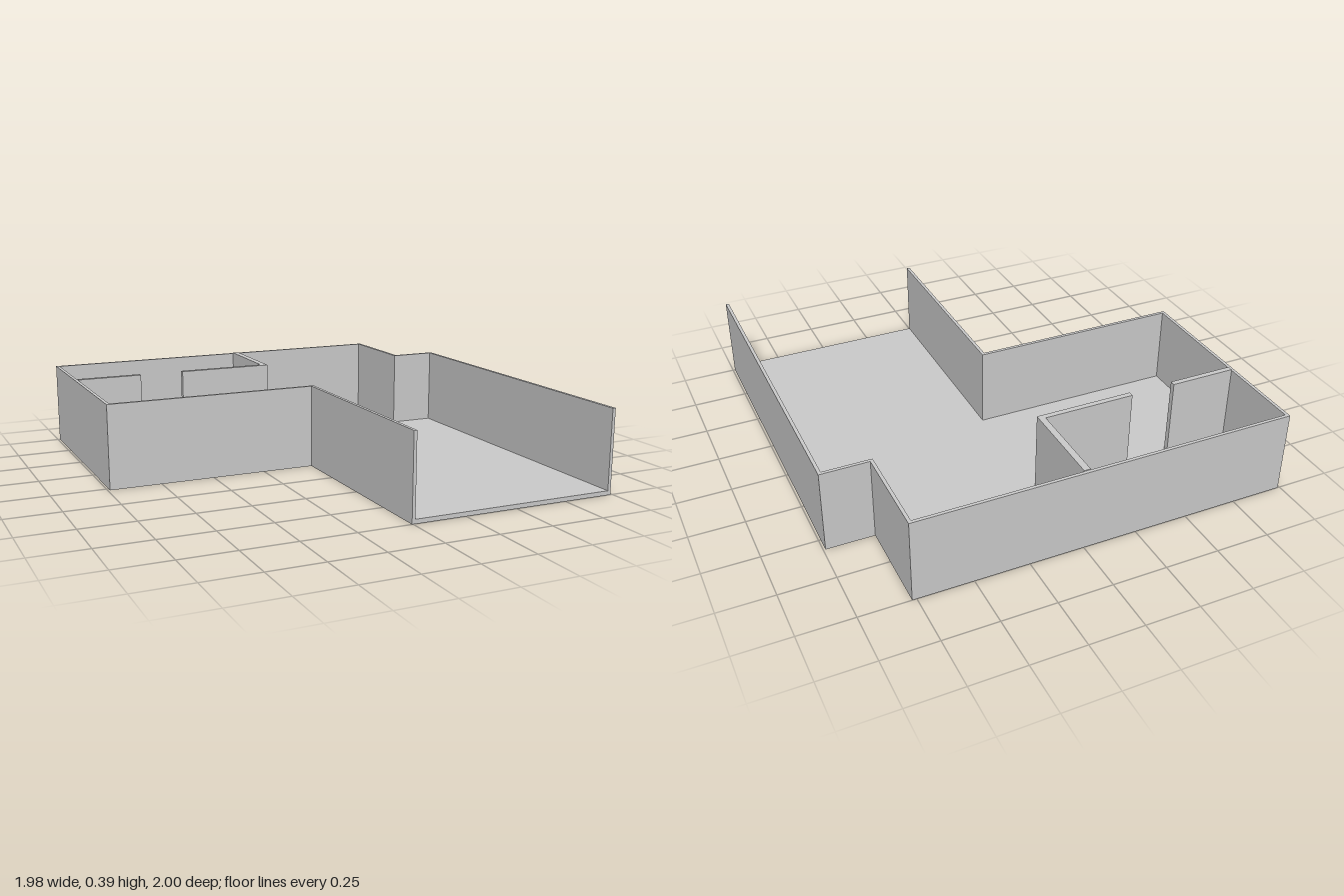
import * as THREE from 'three';

const FLOOR = 0.02;
const WALL_TOP = 0.39;
const PARTITION_TOP = 0.394;

// Outer edge of the plan as [x, z], from one side of the open front to the other
const outer = [
  [-0.005, 1], [-0.005, 0.025], [-0.99, 0.025], [-0.99, -1],
  [0.77, -1], [0.77, -0.567], [0.99, -0.567], [0.99, 1],
];
// Inner face of the outside walls, in the same order
const inner = [
  [0.01, 1], [0.01, 0.01], [-0.975, 0.01], [-0.975, -0.985],
  [0.755, -0.985], [0.755, -0.552], [0.975, -0.552], [0.975, 1],
];
// Partitions: an L-shaped wall and a short stub, with a doorway between
const partitionL = [
  [-0.45, -0.585], [-0.02, -0.585], [-0.02, -0.985],
  [0.01, -0.985], [0.01, -0.56], [-0.45, -0.56],
];
const partitionStub = [
  [-0.975, -0.585], [-0.665, -0.585], [-0.665, -0.56], [-0.975, -0.56],
];

export function createModel() {
  const group = new THREE.Group();
  const material = new THREE.MeshStandardMaterial({ color: 0xcccccc, flatShading: true });

  // Raise a plan outline from one height to another
  function raise(name, plan, bottom, top) {
    const shape = new THREE.Shape(plan.map(([x, z]) => new THREE.Vector2(x, -z)));
    const geometry = new THREE.ExtrudeGeometry(shape, { depth: top - bottom, bevelEnabled: false });
    geometry.rotateX(-Math.PI / 2).translate(0, bottom, 0);
    const mesh = new THREE.Mesh(geometry, material);
    mesh.name = name;
    group.add(mesh);
  }

  raise('floor', outer, 0, FLOOR);
  raise('outsideWalls', [...outer, ...[...inner].reverse()], FLOOR, WALL_TOP);
  raise('cornerPartition', partitionL, FLOOR, PARTITION_TOP);
  raise('stubPartition', partitionStub, FLOOR, PARTITION_TOP);

  return group;
}
